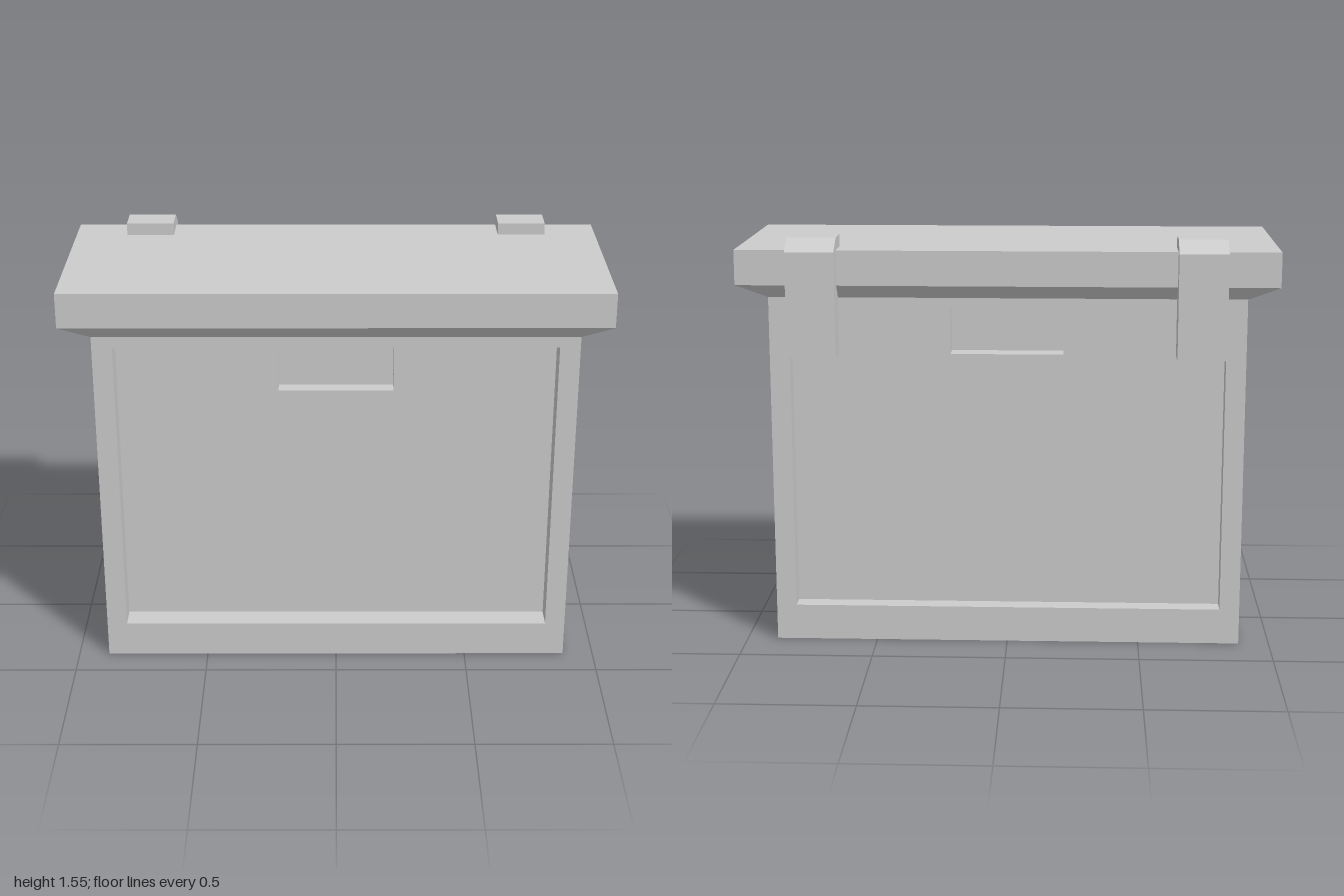
import * as THREE from 'three';

const material = new THREE.MeshStandardMaterial({ color: 0xcccccc, flatShading: true });
const BODY = { x: 0.885, top: 1.33, back: -0.31, front: 0.38 };

function mesh(name, geometry) {
  const m = new THREE.Mesh(geometry, material);
  m.name = name;
  return m;
}

const points = (list) => list.map(([x, y]) => new THREE.Vector2(x, y));

// Outlines of the recesses cut into the front and back panels
const uGroove = points([
  [-0.81, 0.135], [0.81, 0.135], [0.81, 1.29], [0.63, 1.29], [0.63, 0.31],
  [-0.63, 0.31], [-0.63, 1.29], [-0.81, 1.29],
]);
const handleSlot = points([[-0.21, 1.12], [0.21, 1.12], [0.21, 1.29], [-0.21, 1.29]]);

// One full-size layer of a panel, with holes, from z0 to z1
function panelLayer(name, z0, z1, holes) {
  const shape = new THREE.Shape(points([
    [-BODY.x, 0], [BODY.x, 0], [BODY.x, BODY.top], [-BODY.x, BODY.top],
  ]));
  shape.holes = holes.map((h) => new THREE.Path(h));
  const geometry = new THREE.ExtrudeGeometry(shape, { depth: z1 - z0, bevelEnabled: false });
  geometry.translate(0, 0, z0);
  return mesh(name, geometry);
}

function createBody() {
  const body = new THREE.Group();
  body.name = 'body';
  const { front, back } = BODY;
  // Solid core, then stacked layers so groove and slot get their own depths
  body.add(
    panelLayer('core', back + 0.08, front - 0.09, []),
    panelLayer('frontPanelInner', front - 0.09, front - 0.055, [uGroove]),
    panelLayer('frontPanelOuter', front - 0.055, front, [uGroove, handleSlot]),
    panelLayer('backPanelInner', back + 0.07, back + 0.08, [handleSlot]),
    panelLayer('backPanelOuter', back, back + 0.07, [uGroove, handleSlot]),
  );
  return body;
}

// Lid: a box whose bottom row is drawn in to meet the body
function createLid() {
  const geometry = new THREE.BoxGeometry(2, 2, 2, 1, 2, 1).toNonIndexed();
  const p = geometry.attributes.position;
  for (let i = 0; i < p.count; i++) {
    const y = p.getY(i);
    const bottom = y < -0.5;
    const x = bottom ? BODY.x : 1;
    const [back, front] = bottom ? [BODY.back, BODY.front] : [-0.355, 0.42];
    p.setXYZ(i, Math.sign(p.getX(i)) * x,
      bottom ? BODY.top : y > 0.5 ? 1.51 : 1.38,
      p.getZ(i) > 0 ? front : back);
  }
  geometry.computeVertexNormals();
  return mesh('lid', geometry);
}

// Hinge: side profile (z, y) hooked over the lid's back edge
function createHinge(name, x) {
  const width = 0.18;
  const profile = new THREE.Shape(points([
    [-0.23, 1.555], [-0.34, 1.555], [-0.415, 1.51], [-0.415, 1.12], [-0.31, 1.12],
    [-0.31, 1.33], [-0.355, 1.38], [-0.355, 1.51], [-0.23, 1.51],
  ]));
  const geometry = new THREE.ExtrudeGeometry(profile, { depth: width, bevelEnabled: false });
  geometry.rotateY(-Math.PI / 2);
  geometry.translate(x + width / 2, 0, 0);
  return mesh(name, geometry);
}

export function createModel() {
  const model = new THREE.Group();
  model.name = 'storageBox';
  model.add(
    createBody(),
    createLid(),
    createHinge('leftHinge', 0.715),
    createHinge('rightHinge', -0.715),
  );
  return model;
}
